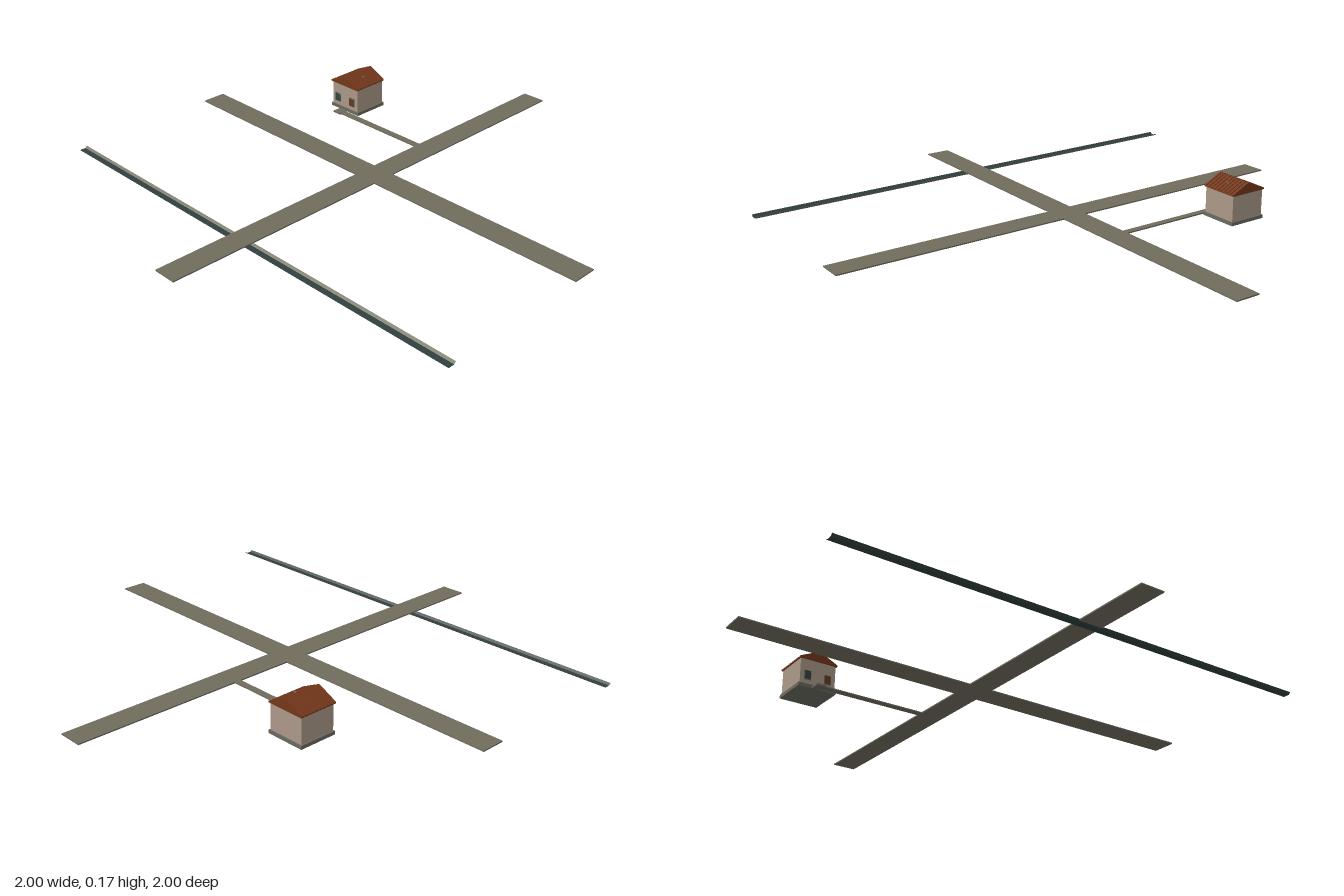
import * as THREE from 'three';

const mat = (name, color, side = THREE.FrontSide) => {
  const m = new THREE.MeshStandardMaterial({ color, side });
  m.name = name;
  return m;
};

export function createModel() {
  const model = new THREE.Group();
  model.name = 'crossroadsWithCottage';

  const road = mat('roadGrey', 0x706c5e);
  const bank = mat('bankOlive', 0x6f6e5c, THREE.DoubleSide);
  const water = mat('ditchWater', 0x31413f, THREE.DoubleSide);
  const wall = mat('wallBeige', 0xab9888);
  const stone = mat('foundationStone', 0x6b6a60);
  const tile = mat('roofTile', 0x74381b);
  const glass = mat('windowGlass', 0x33443c);
  const wood = mat('brownWood', 0x633a22);

  // box given by its lower and upper limits
  function box(name, material, x0, x1, y0, y1, z0, z1, parent = model) {
    const mesh = new THREE.Mesh(new THREE.BoxGeometry(x1 - x0, y1 - y0, z1 - z0), material);
    mesh.position.set((x0 + x1) / 2, (y0 + y1) / 2, (z0 + z1) / 2);
    mesh.name = name;
    parent.add(mesh);
    return mesh;
  }

  // roads crossing in the middle, and the footpath with its doorstep pad
  box('mainRoad', road, -0.05, 0.05, 0.004, 0.009, -1, 1);
  box('crossRoadRight', road, -1, -0.05, 0.004, 0.009, -0.05, 0.05);
  box('crossRoadLeft', road, 0.05, 1, 0.004, 0.009, -0.05, 0.05);
  box('footpath', road, -0.485, -0.05, 0.004, 0.009, -0.312, -0.285);
  box('pathPad', road, -0.525, -0.485, 0.003, 0.01, -0.318, -0.279);

  // ditch: a flat bed between two sloping banks, passing under the main road
  function strip(name, material, z0, y0, z1, y1) {
    const g = new THREE.PlaneGeometry(2, 1);
    const p = g.attributes.position;
    for (let i = 0; i < p.count; i++) {
      const far = p.getY(i) > 0;
      p.setXYZ(i, p.getX(i), far ? y0 : y1, far ? z0 : z1);
    }
    g.computeVertexNormals();
    const mesh = new THREE.Mesh(g, material);
    mesh.name = name;
    model.add(mesh);
  }
  strip('backBank', bank, 0.655, 0.008, 0.663, 0);
  strip('ditchBed', water, 0.663, 0, 0.688, 0);
  strip('frontBank', water, 0.688, 0, 0.696, 0.008);

  // cottage body
  const house = new THREE.Group();
  house.name = 'cottage';
  model.add(house);
  box('foundation', stone, -0.58, -0.42, 0.004, 0.018, -0.48, -0.322, house);
  box('walls', wall, -0.575, -0.425, 0.018, 0.123, -0.475, -0.326, house);

  // gabled roof: alternating high and low courses running from ridge to eaves
  const courses = 19, z0 = -0.48, pitch = 0.16 / courses;
  for (let i = 0; i < courses; i++) {
    const lift = i % 2 ? 0 : 0.003;
    const s = new THREE.Shape();
    s.moveTo(-0.08, 0.121);
    s.lineTo(0.08, 0.121);
    s.lineTo(0.08, 0.124 + lift);
    s.lineTo(0, 0.162 + lift);
    s.lineTo(-0.08, 0.124 + lift);
    const g = new THREE.ExtrudeGeometry(s, { depth: pitch, bevelEnabled: false });
    const mesh = new THREE.Mesh(g, tile);
    mesh.position.set(-0.5, 0, z0 + i * pitch);
    mesh.name = 'roofCourse';
    house.add(mesh);
  }

  // small roof vent on the left slope
  const vent = new THREE.Mesh(new THREE.CylinderGeometry(0.005, 0.005, 0.01, 10), stone);
  vent.position.set(-0.465, 0.145, -0.4);
  vent.name = 'roofVent';
  house.add(vent);

  // framed front openings: a window and a wooden shutter
  for (const [name, x, material] of [['window', -0.544, glass], ['shutter', -0.459, wood]]) {
    box(name + 'Frame', stone, x - 0.015, x + 0.015, 0.036, 0.074, -0.326, -0.322, house);
    box(name, material, x - 0.012, x + 0.012, 0.039, 0.071, -0.324, -0.319, house);
  }

  return model;
}
